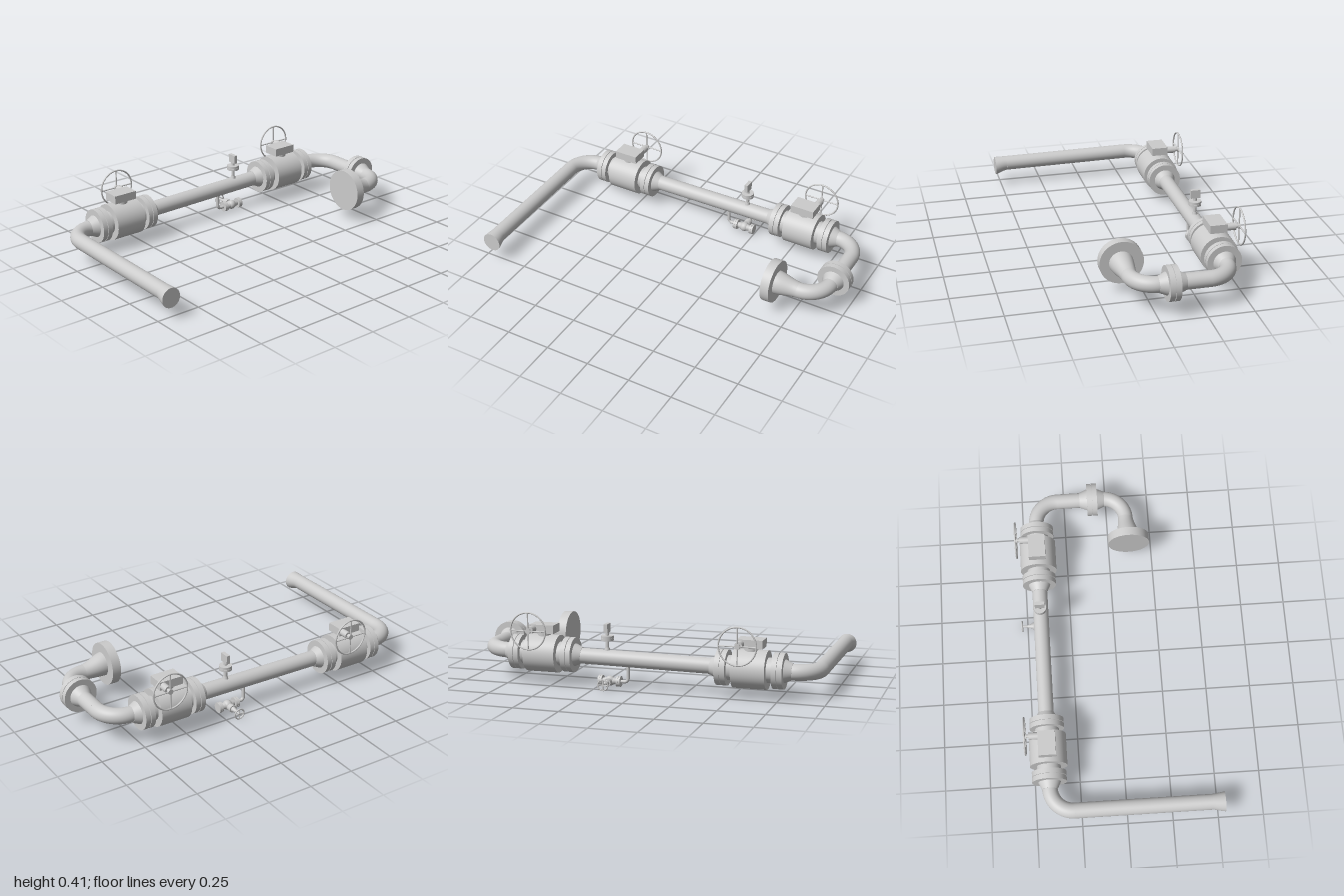
import * as THREE from 'three';

const MAT = new THREE.MeshStandardMaterial({ color: 0xcccccc });
const V = (x, y, z) => new THREE.Vector3(x, y, z);
const PIPE_X = -0.415, PIPE_R = 0.043;
const FRONT_Z = 0.94, BACK_Z = -0.907, BEND = 0.13;
const lineY = (z) => 0.156 - 0.012 * z; // the run falls gently to the front

function add(parent, name, geo) {
  const m = new THREE.Mesh(geo, MAT);
  m.name = name;
  parent.add(m);
  return m;
}

// Cylinder between two points, radius r1 at a and r2 at b
function rod(parent, name, a, b, r1, r2 = r1, sides = 40) {
  const m = add(parent, name, new THREE.CylinderGeometry(r2, r1, a.distanceTo(b), sides));
  m.position.copy(a).lerp(b, 0.5);
  m.quaternion.setFromUnitVectors(V(0, 1, 0), b.clone().sub(a).normalize());
  return m;
}

// Quarter bend from a to b around the corner point
function elbow(parent, name, a, corner, b, r = PIPE_R, sides = 40) {
  const k = 0.5523;
  const curve = new THREE.CubicBezierCurve3(a, a.clone().lerp(corner, k), b.clone().lerp(corner, k), b);
  return add(parent, name, new THREE.TubeGeometry(curve, 20, r, sides));
}

// Eccentric reducer: radius and centre ease from one end to the other
function reducer(parent, name, a, b, r1, r2, axis) {
  const geo = new THREE.CylinderGeometry(1, 1, 1, 40, 8);
  geo.rotateX(Math.PI / 2);
  if (axis === 'x') geo.rotateY(Math.PI / 2);
  const p = geo.attributes.position;
  for (let i = 0; i < p.count; i++) {
    const v = V(0, 0, 0).fromBufferAttribute(p, i);
    const t = v[axis] + 0.5, s = THREE.MathUtils.lerp(t, t * t * (3 - 2 * t), 0.6);
    const r = THREE.MathUtils.lerp(r1, r2, s);
    v[axis] = 0;
    v.multiplyScalar(r).add(a.clone().lerp(b, s));
    v[axis] = THREE.MathUtils.lerp(a[axis], b[axis], t);
    p.setXYZ(i, v.x, v.y, v.z);
  }
  geo.computeVertexNormals();
  // keep the side seam and end caps smooth and flat respectively
  return add(parent, name, geo);
}

// Two bolted discs with a thin gasket; spans a to b
function flangePair(parent, name, a, b, r) {
  const g = new THREE.Group();
  g.name = name;
  parent.add(g);
  const at = (t) => a.clone().lerp(b, t);
  rod(g, 'flangeDisc', a, at(0.475), r, r, 48);
  rod(g, 'gasket', at(0.47), at(0.53), r * 0.93, r * 0.93, 48);
  rod(g, 'flangeDisc', at(0.525), b, r, r, 48);
}

// Spoked wheel turning about x
function handwheel(parent, name, c, r, tube, spokes) {
  const g = new THREE.Group();
  g.name = name;
  g.position.copy(c);
  parent.add(g);
  add(g, 'wheelRim', new THREE.TorusGeometry(r - tube, tube, 10, 48)).rotation.y = Math.PI / 2;
  for (let i = 0; i < spokes; i++) {
    const a = (i / spokes) * Math.PI * 2;
    rod(g, 'wheelSpoke', V(0, 0, 0), V(0, Math.cos(a), Math.sin(a)).multiplyScalar(r - tube), tube * 0.85, tube * 0.85, 10);
  }
  rod(g, 'wheelHub', V(-tube, 0, 0), V(tube * 2, 0, 0), r * 0.14, r * 0.14, 20);
}

// Gear-operated valve lying along z, centred on its own origin
function mainValve(name, z) {
  const g = new THREE.Group();
  g.name = name;
  g.position.set(PIPE_X, lineY(z), z);
  rod(g, 'valveBody', V(0, 0, -0.09), V(0, 0, 0.09), 0.103, 0.103, 56);
  for (const s of [-1, 1]) {
    rod(g, 'valveNeck', V(0, 0, s * 0.085), V(0, 0, s * 0.125), 0.066);
    flangePair(g, 'valveFlange', V(0, 0, s * 0.122), V(0, 0, s * 0.18), 0.095);
    rod(g, 'weldNeck', V(0, 0, s * 0.18), V(0, 0, s * 0.22), 0.062, PIPE_R);
  }
  // gearbox, shaft and wheel
  rod(g, 'gearboxMount', V(0, 0.08, 0), V(0, 0.12, 0), 0.036);
  add(g, 'gearbox', new THREE.BoxGeometry(0.095, 0.046, 0.138)).position.set(0, 0.139, 0);
  rod(g, 'shaftHousing', V(-0.04, 0.138, -0.048), V(-0.097, 0.138, -0.048), 0.02, 0.02, 24);
  rod(g, 'wheelShaft', V(-0.09, 0.138, -0.048), V(-0.122, 0.138, -0.048), 0.01, 0.01, 16);
  handwheel(g, 'handwheel', V(-0.1175, 0.138, -0.048), 0.105, 0.0045, 4);
  return g;
}

// Instrument standing on the pipe
function gauge(z) {
  const g = new THREE.Group();
  g.name = 'instrument';
  g.position.set(PIPE_X, 0, z);
  rod(g, 'instrumentBase', V(0, 0.185, 0), V(0, 0.215, 0), 0.019, 0.012, 24);
  rod(g, 'instrumentStem', V(0, 0.19, 0), V(0, 0.305, 0), 0.01, 0.01, 20);
  flangePair(g, 'instrumentFlange', V(0, 0.254, 0), V(0, 0.28, 0), 0.035);
  const head = add(g, 'instrumentHead', new THREE.BoxGeometry(0.054, 0.048, 0.02));
  head.position.y = 0.321;
  return g;
}

// Small drain line below the pipe with its own hand valve
function drain() {
  const g = new THREE.Group();
  g.name = 'drain';
  g.position.set(PIPE_X, 0.032, 0);
  const z0 = -0.083, zc = -0.186;
  rod(g, 'drainPipe', V(0, 0.1, z0), V(0, 0.02, z0), 0.009, 0.009, 20);
  elbow(g, 'drainElbow', V(0, 0.02, z0), V(0, 0, z0), V(0, 0, z0 - 0.02), 0.009, 20);
  rod(g, 'drainPipe', V(0, 0, z0 - 0.02), V(0, 0, -0.13), 0.009, 0.009, 20);
  for (const s of [-1, 1]) {
    flangePair(g, 'drainFlange', V(0, 0, zc + s * 0.04), V(0, 0, zc + s * 0.063), 0.029);
    rod(g, 'drainValveNeck', V(0, 0, zc + s * 0.042), V(0, 0, zc), 0.014, 0.024, 28);
  }
  add(g, 'drainValveBody', new THREE.SphereGeometry(0.027, 28, 18)).position.z = zc;
  const part = (name, x1, x2, r1, r2) => rod(g, name, V(x1, 0, zc), V(x2, 0, zc), r1, r2, 24);
  part('bonnetFlange', -0.027, -0.055, 0.021, 0.021);
  part('bonnet', -0.01, -0.03, 0.016, 0.016);
  part('bonnetCone', -0.055, -0.087, 0.015, 0.008);
  part('drainStem', -0.08, -0.12, 0.006, 0.006);
  handwheel(g, 'drainHandwheel', V(-0.116, 0, zc), 0.032, 0.004, 4);
  return g;
}

export function createModel() {
  const model = new THREE.Group();
  model.name = 'pipeline';

  // long run with its two valves
  const zFront = 0.595, zBack = -0.563;
  const onLine = (z) => V(PIPE_X, lineY(z), z);
  rod(model, 'mainPipe', onLine(zBack + 0.2), onLine(zFront - 0.2), PIPE_R);
  model.add(mainValve('frontValve', zFront), mainValve('backValve', zBack), gauge(-0.2), drain());

  // front leg, ending in an eccentric flare
  const yF = lineY(FRONT_Z);
  const legStart = V(PIPE_X + BEND, yF - 0.001, FRONT_Z), legEnd = V(0.464, 0.1355, FRONT_Z);
  elbow(model, 'frontElbow', onLine(FRONT_Z - BEND), V(PIPE_X, yF, FRONT_Z), legStart);
  rod(model, 'frontPipe', legStart, legEnd, PIPE_R);
  reducer(model, 'frontFlare', legEnd, V(0.534, 0.124, FRONT_Z), PIPE_R, 0.054, 'x');

  // back leg with its joint
  const yB = lineY(BACK_Z);
  const back = (x) => V(x, yB, BACK_Z);
  const endX = 0.108;
  elbow(model, 'backElbow', onLine(BACK_Z + BEND), back(PIPE_X), back(PIPE_X + BEND));
  rod(model, 'backPipe', back(PIPE_X + BEND), back(endX - BEND), PIPE_R);
  rod(model, 'weldNeck', back(-0.155), back(-0.11), PIPE_R, 0.062);
  flangePair(model, 'backFlange', back(-0.111), back(-0.052), 0.094);
  rod(model, 'weldNeck', back(-0.053), back(-0.01), 0.062, PIPE_R);

  // return bend, widening into the large end flange
  const bendEnd = V(endX, yB, BACK_Z + BEND);
  elbow(model, 'returnElbow', back(endX - BEND), back(endX), bendEnd);
  reducer(model, 'endReducer', bendEnd, V(0.118, 0.18, -0.65), PIPE_R, 0.066, 'z');
  rod(model, 'endFlange', V(0.115, 0.18, -0.655), V(0.115, 0.18, -0.605), 0.119, 0.119, 64);

  return model;
}
